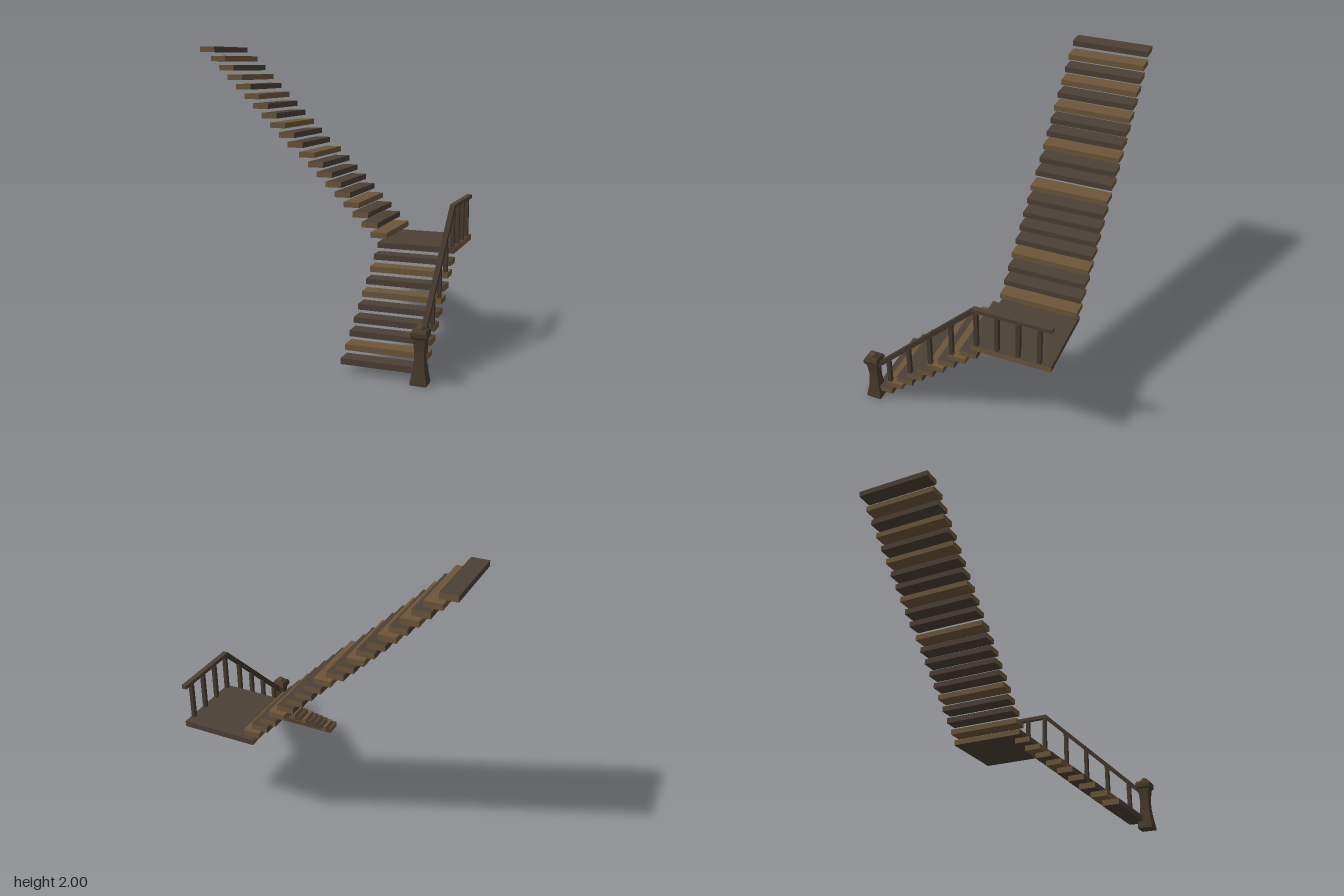
import * as THREE from 'three';

const mat = (name, color) => Object.assign(new THREE.MeshStandardMaterial({ color }), { name });

export function createModel() {
  const model = new THREE.Group();
  model.name = 'staircase';
  const lightWood = mat('lightWood', 0x6c5639);
  const darkWood = mat('darkWood', 0x4c4035);
  const railWood = mat('railWood', 0x45392e);
  const slopeWood = mat('slopeRailWood', 0x40352b);
  const newelWood = mat('newelWood', 0x47392b);
  const finialWood = mat('finialWood', 0x54422f);

  const RISE = 0.066, THICK = 0.038, RUN = 0.114, WIDTH = 0.526;
  const LANDING_Y = 0.664, RAIL_X = 0.894;

  function box(name, size, pos, material, parent = model) {
    const m = new THREE.Mesh(new THREE.BoxGeometry(...size), material);
    m.name = name;
    m.position.set(...pos);
    parent.add(m);
    return m;
  }
  // Boards show light wood on their cut ends
  const endsOnX = (c) => [lightWood, lightWood, c, c, c, c];
  const endsOnZ = (c) => [c, c, c, c, lightWood, lightWood];

  // Lower flight, climbing towards -z
  const lower = new THREE.Group();
  lower.name = 'lowerFlight';
  model.add(lower);
  const lowerLight = [1, 5, 7];
  for (let i = 0; i < 9; i++) {
    box('lowerTread', [WIDTH, THICK, RUN], [0.649, 0.07 + i * RISE, 0.525 - i * 0.0787],
      endsOnX(lowerLight.includes(i) ? lightWood : darkWood), lower);
  }

  // Landing
  box('landing', [WIDTH, THICK, WIDTH], [0.649, LANDING_Y, -0.388], endsOnX(darkWood));

  // Upper flight, climbing towards -x, with two slightly longer steps
  const upper = new THREE.Group();
  upper.name = 'upperFlight';
  model.add(upper);
  const upperLight = [0, 3, 8, 11, 14, 16, 18];
  for (let i = 0; i < 20; i++) {
    const shift = (i >= 9 ? 0.021 : 0) + (i === 19 ? 0.02 : 0);
    box('upperTread', [RUN, THICK, WIDTH],
      [0.393 - i * 0.0658 - shift, LANDING_Y + (i + 1) * RISE, -0.388],
      endsOnZ(upperLight.includes(i) ? lightWood : darkWood), upper);
  }

  // Handrails
  const railing = new THREE.Group();
  railing.name = 'railing';
  model.add(railing);
  const top = { y: 0.953, z: -0.145 }, foot = { y: 0.255, z: 0.58 };
  const dy = top.y - foot.y, dz = foot.z - top.z;
  const slope = box('slopedHandrail', [0.034, 0.028, Math.hypot(dy, dz)],
    [RAIL_X, (top.y + foot.y) / 2, (top.z + foot.z) / 2], slopeWood, railing);
  slope.rotation.x = Math.atan2(dy, dz);
  box('landingHandrail', [0.034, 0.026, 0.511], [RAIL_X, 0.956, -0.3955], darkWood, railing);

  // Balusters on every second tread, then along the landing
  function baluster(z, bottom, topY) {
    box('baluster', [0.026, topY - bottom, 0.026], [RAIL_X, (topY + bottom) / 2, z], railWood, railing);
  }
  [1, 3, 5, 7].forEach((step, k) => {
    const z = 0.483 - k * 0.156;
    baluster(z, 0.07 + step * RISE + THICK / 2, foot.y + (foot.z - z) * dy / dz);
  });
  [-0.158, -0.295, -0.434, -0.57].forEach((z) => baluster(z, LANDING_Y + THICK / 2, 0.95));

  // Square newel post with waisted shaft, cap and round finial
  const newel = new THREE.Group();
  newel.name = 'newelPost';
  newel.position.set(RAIL_X, 0, 0.597);
  model.add(newel);
  const profile = [
    [0, 0], [0.05, 0], [0.05, 0.014], [0.042, 0.06], [0.034, 0.11], [0.03, 0.16],
    [0.03, 0.2], [0.034, 0.245], [0.039, 0.28], [0.047, 0.287], [0.05, 0.298],
    [0.05, 0.318], [0.042, 0.333], [0.026, 0.338], [0, 0.338],
  ].map(([h, y]) => new THREE.Vector2(h * Math.SQRT2, y));
  const shaftGeo = new THREE.LatheGeometry(profile, 4).rotateY(Math.PI / 4).toNonIndexed();
  shaftGeo.computeVertexNormals();
  const shaft = new THREE.Mesh(shaftGeo, newelWood);
  shaft.name = 'newelShaft';
  newel.add(shaft);
  const finial = new THREE.Mesh(new THREE.SphereGeometry(0.027, 16, 10), finialWood);
  finial.name = 'newelFinial';
  finial.position.y = 0.338;
  newel.add(finial);

  return model;
}
